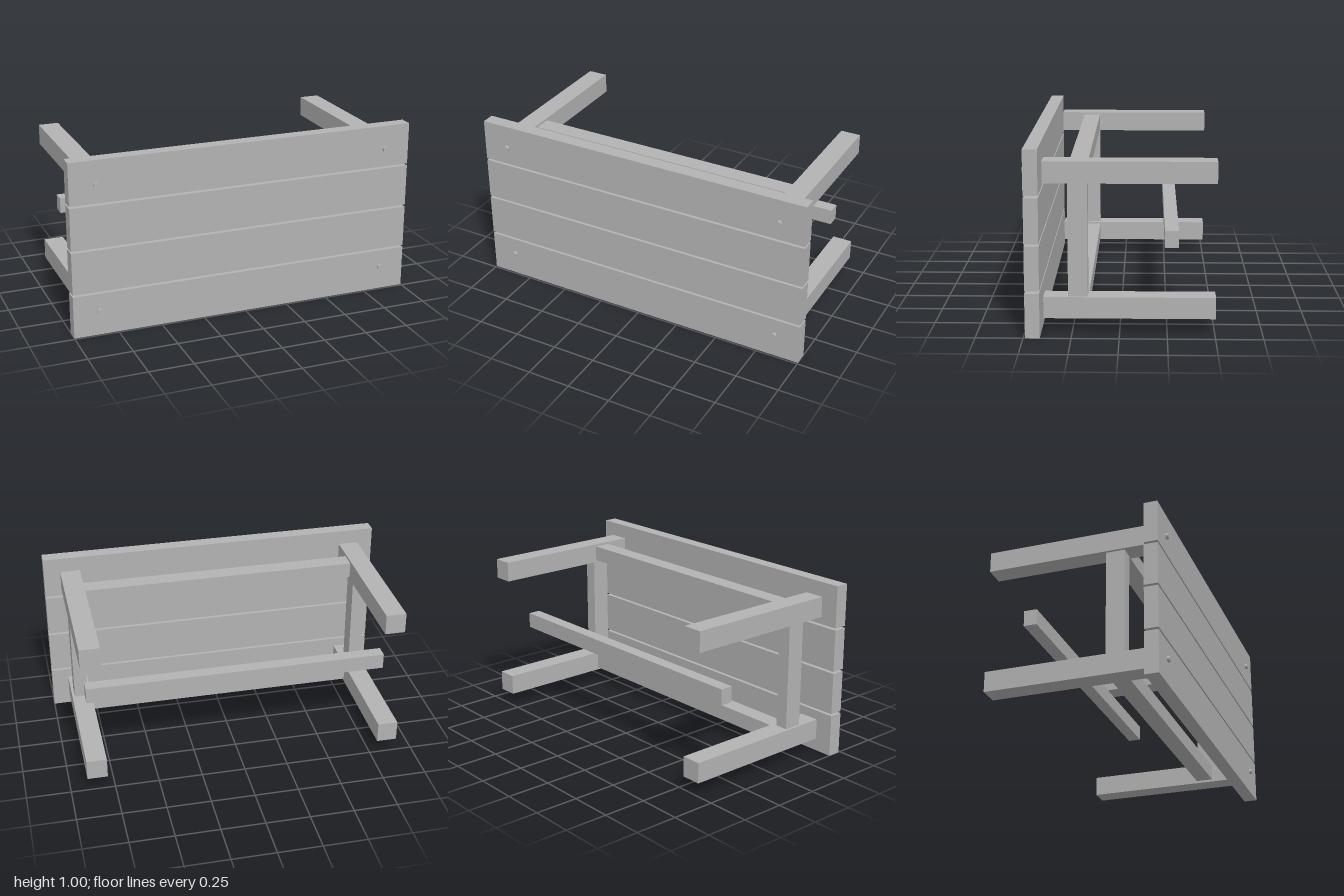
import * as THREE from 'three';

export function createModel() {
  const model = new THREE.Group();
  model.name = 'plankTable';
  const grey = new THREE.MeshStandardMaterial({ color: 0xb2b2b2 });
  grey.name = 'plainGrey';

  // Box given by its minimum and maximum on each axis
  function bar(name, [x0, x1], [y0, y1], [z0, z1]) {
    const mesh = new THREE.Mesh(new THREE.BoxGeometry(x1 - x0, y1 - y0, z1 - z0), grey);
    mesh.position.set((x0 + x1) / 2, (y0 + y1) / 2, (z0 + z1) / 2);
    mesh.name = name;
    model.add(mesh);
  }

  // Four table top planks, standing on edge
  for (let i = 0; i < 4; i++) {
    const y = i * 0.252;
    bar('plank', [-1, 1], [y, y + 0.24], [0.413, 0.49]);
  }

  const boltGeometry = new THREE.CylinderGeometry(0.016, 0.016, 0.02, 20).rotateX(Math.PI / 2);
  for (const low of [true, false]) {
    // Leg and long apron heights mirror about y = 0.498
    const span = (a, b) => (low ? [a, b] : [0.997 - b, 0.997 - a]);
    for (const side of [-1, 1]) {
      bar('leg', side < 0 ? [-0.905, -0.79] : [0.79, 0.905], span(0.079, 0.195), [-0.505, 0.4]);

      // Bolt heads on the table top
      const bolt = new THREE.Mesh(boltGeometry, grey);
      bolt.name = 'bolt';
      bolt.position.set(side * 0.851, low ? 0.138 : 0.861, 0.496);
      model.add(bolt);
    }
    bar('longApron', [-0.79, 0.79], span(0.093, 0.182), [0.165, 0.263]);
  }

  // Short aprons joining the legs at each end
  for (const side of [-1, 1]) {
    bar('shortApron', side < 0 ? [-0.89, -0.815] : [0.815, 0.89], [0.195, 0.802], [0.167, 0.271]);
  }

  // Long stretcher between the leg pairs
  bar('stretcher', [-0.865, 0.865], [0.454, 0.544], [-0.309, -0.235]);

  return model;
}
